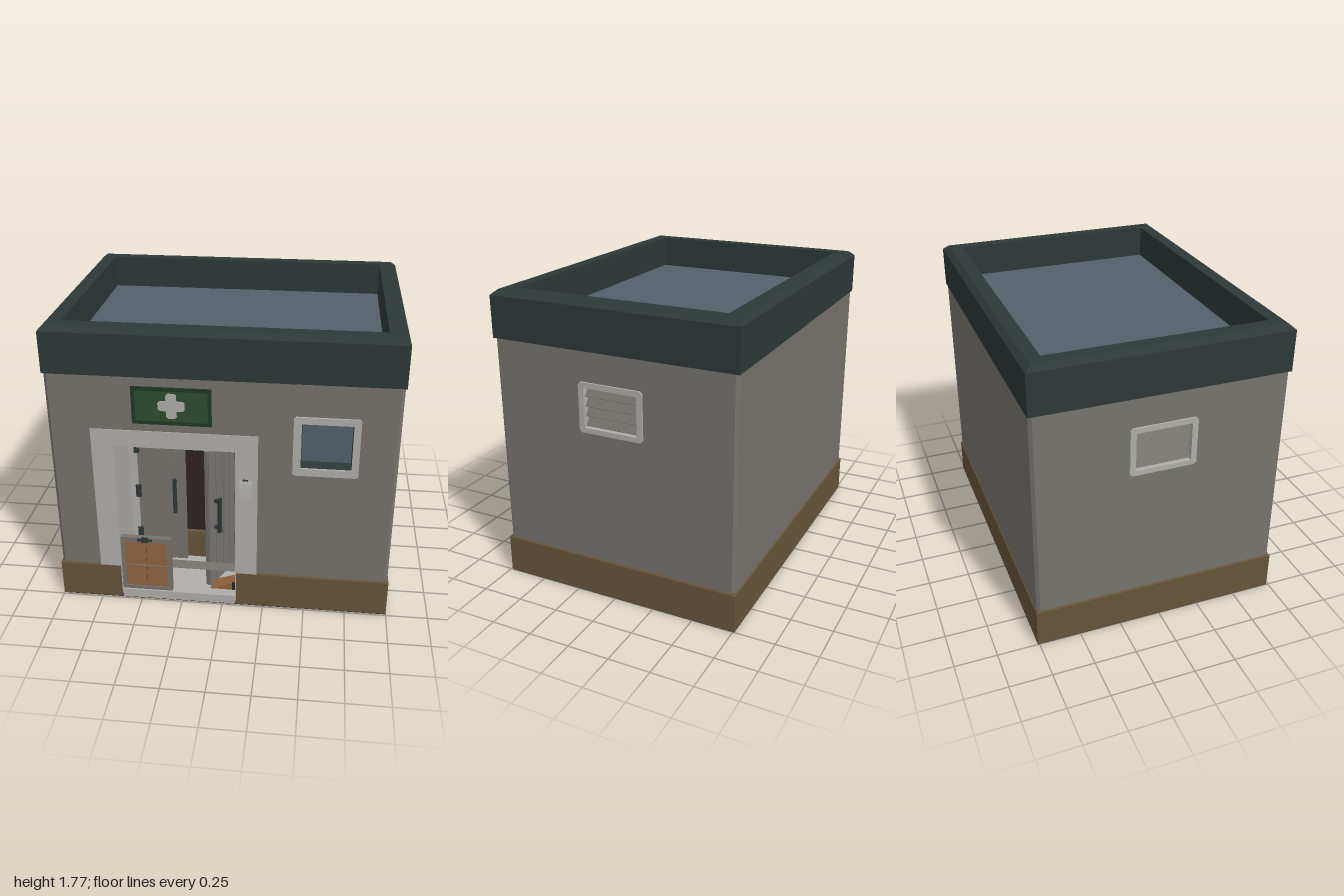
import * as THREE from 'three';

const mat = (name, color, side = THREE.FrontSide) => {
  const m = new THREE.MeshStandardMaterial({ color, side });
  m.name = name;
  return m;
};

export function createModel() {
  const wallGrey = mat('wall grey', 0x76736e);
  const lightGrey = mat('light grey', 0xafaea9, THREE.DoubleSide);
  const brown = mat('plinth brown', 0x66543a);
  const slate = mat('dark slate', 0x2e3837);
  const glass = mat('blue grey', 0x54606a);
  const orange = mat('orange wood', 0x91633f);
  const green = mat('sign green', 0x2c4e2d);
  const darkGreen = mat('sign border green', 0x1f3822);
  const dark = mat('dark interior', 0x2d2323);

  const model = new THREE.Group();
  model.name = 'firstAidHut';
  const hut = new THREE.Group();
  hut.name = 'building';
  hut.position.z = -0.01;
  model.add(hut);

  const add = (parent, name, geo, material, x = 0, y = 0, z = 0) => {
    const m = new THREE.Mesh(geo, material);
    m.name = name;
    m.position.set(x, y, z);
    parent.add(m);
    return m;
  };
  // box given by its limits
  const box = (parent, name, material, x0, x1, y0, y1, z0, z1) =>
    add(parent, name, new THREE.BoxGeometry(x1 - x0, y1 - y0, z1 - z0), material,
      (x0 + x1) / 2, (y0 + y1) / 2, (z0 + z1) / 2);
  const poly = (pts) => new THREE.Shape(pts.map(([x, y]) => new THREE.Vector2(x, y)));
  // rectangle with cut corners
  const rect = (x0, x1, y0, y1, c = 0) => poly(c
    ? [[x0 + c, y0], [x1 - c, y0], [x1, y0 + c], [x1, y1 - c], [x1 - c, y1], [x0 + c, y1], [x0, y1 - c], [x0, y0 + c]]
    : [[x0, y0], [x1, y0], [x1, y1], [x0, y1]]);
  // upright plate from z0 to z1
  const plate = (parent, name, material, shape, holes, z0, z1) => {
    shape.holes = holes;
    return add(parent, name, new THREE.ExtrudeGeometry(shape, { depth: z1 - z0, bevelEnabled: false }), material, 0, 0, z0);
  };
  // footprint raised from y0 to y1, its outer top edge drawn in by t
  const slab = (name, material, shape, y0, y1, t = 0) => {
    const g = new THREE.ExtrudeGeometry(shape, { depth: y1 - y0, bevelEnabled: false });
    g.rotateX(-Math.PI / 2);
    const p = g.attributes.position;
    if (t) for (let i = 0; i < p.count; i++) {
      if (p.getY(i) < 1e-4) continue;
      if (Math.abs(p.getX(i)) > 0.99) p.setX(i, p.getX(i) - Math.sign(p.getX(i)) * t);
      if (Math.abs(p.getZ(i)) > 0.745) p.setZ(i, p.getZ(i) - Math.sign(p.getZ(i)) * t);
    }
    g.computeVertexNormals();
    return add(hut, name, g, material, 0, y0, 0);
  };

  // plinth with a notch for the doorway
  const footprint = () => poly([[-1, -0.75], [-0.625, -0.75], [-0.625, -0.36], [0.085, -0.36],
    [0.085, -0.75], [1, -0.75], [1, 0.75], [-1, 0.75]]);
  box(hut, 'underside', dark, -1, 1, 0, 0.002, -0.75, 0.75);
  slab('plinth', brown, footprint(), 0.002, 0.23);
  slab('plinthChamfer', brown, footprint(), 0.23, 0.25, 0.02);

  // walls
  const W = 0.993, D = 0.743, C = 0.018;
  plate(hut, 'frontWall', wallGrey, rect(C - W, W - C, 0.24, 1.5),
    [rect(-0.7, 0.15, 0.241, 1.12), rect(0.43, 0.755, 0.965, 1.285)], D - 0.08, D);
  box(hut, 'backWall', wallGrey, C - W, W - C, 0.24, 1.5, -D, 0.08 - D);
  for (const s of [1, -1]) {
    const side = new THREE.Group();
    side.name = s > 0 ? 'leftSide' : 'rightSide';
    side.rotation.y = s * Math.PI / 2;
    hut.add(side);
    plate(side, 'sideWall', wallGrey, rect(C - D, D - C, 0.24, 1.5), [rect(-0.18, 0.18, 1.05, 1.305)], W - 0.08, W);
    // louvred vent
    plate(side, 'ventFrame', lightGrey, rect(-0.197, 0.197, 1.03, 1.325, 0.014), [rect(-0.163, 0.163, 1.06, 1.293)], W - 0.07, 1.004);
    box(side, 'ventBack', slate, -0.18, 0.18, 1.04, 1.31, W - 0.075, W - 0.065);
    for (let i = 0; i < 4; i++) {
      const slat = add(side, 'ventSlat', new THREE.BoxGeometry(0.326, 0.055, 0.008), wallGrey, 0, 1.088 + i * 0.057, W - 0.025);
      slat.rotation.x = -0.6;
    }
    // chamfered wall corners
    for (const f of [1, -1]) {
      const corner = add(hut, 'wallCorner', new THREE.BoxGeometry(C * Math.SQRT2, 1.26, 0.01), wallGrey,
        s * (W - C / 2 - 0.0035), 0.87, f * (D - C / 2 - 0.0035));
      corner.rotation.y = s * f * Math.PI / 4;
    }
  }

  // parapet and sunken roof
  const ring = () => {
    const s = rect(-1, 1, -0.75, 0.75);
    s.holes = [rect(-0.89, 0.89, -0.64, 0.64)];
    return s;
  };
  slab('parapet', slate, ring(), 1.5, 1.745);
  slab('parapetChamfer', slate, ring(), 1.745, 1.775, 0.035);
  box(hut, 'roofDeck', glass, -0.9, 0.9, 1.505, 1.575, -0.65, 0.65);

  // door surround, inner frame, step and dark interior
  const arch = (o0, o1, ot, i0, i1, it) => poly([[o0, 0.03], [i0, 0.03], [i0, it], [i1, it], [i1, 0.03], [o1, 0.03], [o1, ot], [o0, ot]]);
  plate(hut, 'doorSurround', lightGrey, arch(-0.75, 0.21, 1.17, -0.62, 0.08, 1.065), [], 0.37, 0.748);
  plate(hut, 'innerDoorFrame', lightGrey, arch(-0.63, 0.09, 1.075, -0.57, 0.05, 1.01), [], 0.36, 0.405);
  box(hut, 'doorStep', lightGrey, -0.62, 0.08, 0.003, 0.06, 0.33, 0.75);
  box(hut, 'interior', dark, -0.65, 0.11, 0.06, 1.08, 0.32, 0.33);

  // door leaves: left closed, right swung outward
  for (const s of [1, -1]) {
    const leaf = new THREE.Group();
    leaf.name = s > 0 ? 'closedDoorLeaf' : 'openDoorLeaf';
    leaf.position.set(s > 0 ? -0.57 : 0.05, 0, 0.4);
    leaf.rotation.y = s > 0 ? 0 : 1.107;
    hut.add(leaf);
    const span = (name, m, a, b, y0, y1, z0, z1) => box(leaf, name, m, Math.min(s * a, s * b), Math.max(s * a, s * b), y0, y1, z0, z1);
    span('leafCore', wallGrey, 0, 0.3, 0.065, 1.008, -0.03, -0.006);
    for (let i = 0; i < 4; i++) span('plank', wallGrey, 0.002 + i * 0.075, 0.071 + i * 0.075, 0.065, 1.008, -0.006, 0);
    span('handleBar', slate, 0.225, 0.248, 0.44, 0.68, 0.025, 0.043);
    for (const y of [0.46, 0.645]) span('handlePost', slate, 0.228, 0.245, y, y + 0.02, 0, 0.026);
    for (const y of [0.255, 0.57, 0.885]) box(hut, 'hinge', slate, leaf.position.x - 0.015, leaf.position.x + 0.017, y - 0.042, y + 0.042, 0.395, 0.418);
  }

  // low gate
  plate(hut, 'gateFrame', wallGrey, rect(-0.619, -0.31, 0.062, 0.44), [rect(-0.595, -0.335, 0.085, 0.41)], 0.71, 0.742);
  for (const x of [-0.595, -0.464]) box(hut, 'gatePanel', orange, x, x + 0.129, 0.085, 0.41, 0.717, 0.735);
  box(hut, 'gatePanelSeam', dark, -0.47, -0.46, 0.085, 0.41, 0.718, 0.732);
  box(hut, 'gateLatch', slate, -0.515, -0.425, 0.42, 0.435, 0.742, 0.748);
  box(hut, 'gateLatchKnob', slate, -0.49, -0.45, 0.412, 0.443, 0.735, 0.75);

  // wooden door wedge
  plate(hut, 'doorWedge', orange, poly([[-0.08, 0.061], [0.078, 0.061], [0.078, 0.115], [0.05, 0.105]]), [], 0.6, 0.69);
  box(hut, 'wedgeEnd', dark, 0.055, 0.079, 0.062, 0.115, 0.685, 0.694);

  // window
  plate(hut, 'windowReveal', slate, rect(0.43, 0.755, 0.965, 1.285), [rect(0.451, 0.734, 0.986, 1.264)], 0.65, 0.742);
  plate(hut, 'windowFrame', lightGrey, rect(0.405, 0.775, 0.94, 1.305, 0.01), [rect(0.45, 0.735, 0.985, 1.265)], 0.735, 0.755);
  box(hut, 'windowPane', glass, 0.44, 0.745, 0.975, 1.275, 0.65, 0.66);

  // sign with a cross
  plate(hut, 'signBorder', darkGreen, rect(-0.5, -0.05, 1.22, 1.445), [rect(-0.48, -0.07, 1.24, 1.425)], 0.735, 0.756);
  box(hut, 'signPanel', green, -0.485, -0.065, 1.235, 1.43, 0.735, 0.75);
  const a = 0.076, b = 0.03, c = 0.012, quarter = [[a, -b + c], [a, b - c], [a - c, b], [b, b], [b, a - c], [b - c, a]];
  const cross = [];
  for (let k = 0; k < 4; k++) {
    const cs = Math.round(Math.cos(k * Math.PI / 2)), sn = Math.round(Math.sin(k * Math.PI / 2));
    const pts = [[a - c, -b], ...quarter.slice(0, 3), [b, b]];
    for (const [x, y] of pts) cross.push([x * cs - y * sn - 0.275, x * sn + y * cs + 1.335]);
  }
  plate(hut, 'signCross', lightGrey, poly(cross), [], 0.749, 0.756);

  // curling paper notice on a peg
  const paper = new THREE.PlaneGeometry(0.08, 0.12, 1, 6);
  const pp = paper.attributes.position;
  for (let i = 0; i < pp.count; i++) pp.setZ(i, 0.016 * Math.sqrt((0.0601 - pp.getY(i)) / 0.12));
  paper.computeVertexNormals();
  add(hut, 'notice', paper, lightGrey, 0.14, 0.828, 0.751);
  box(hut, 'noticePeg', slate, 0.125, 0.155, 0.884, 0.891, 0.745, 0.757);

  return model;
}
